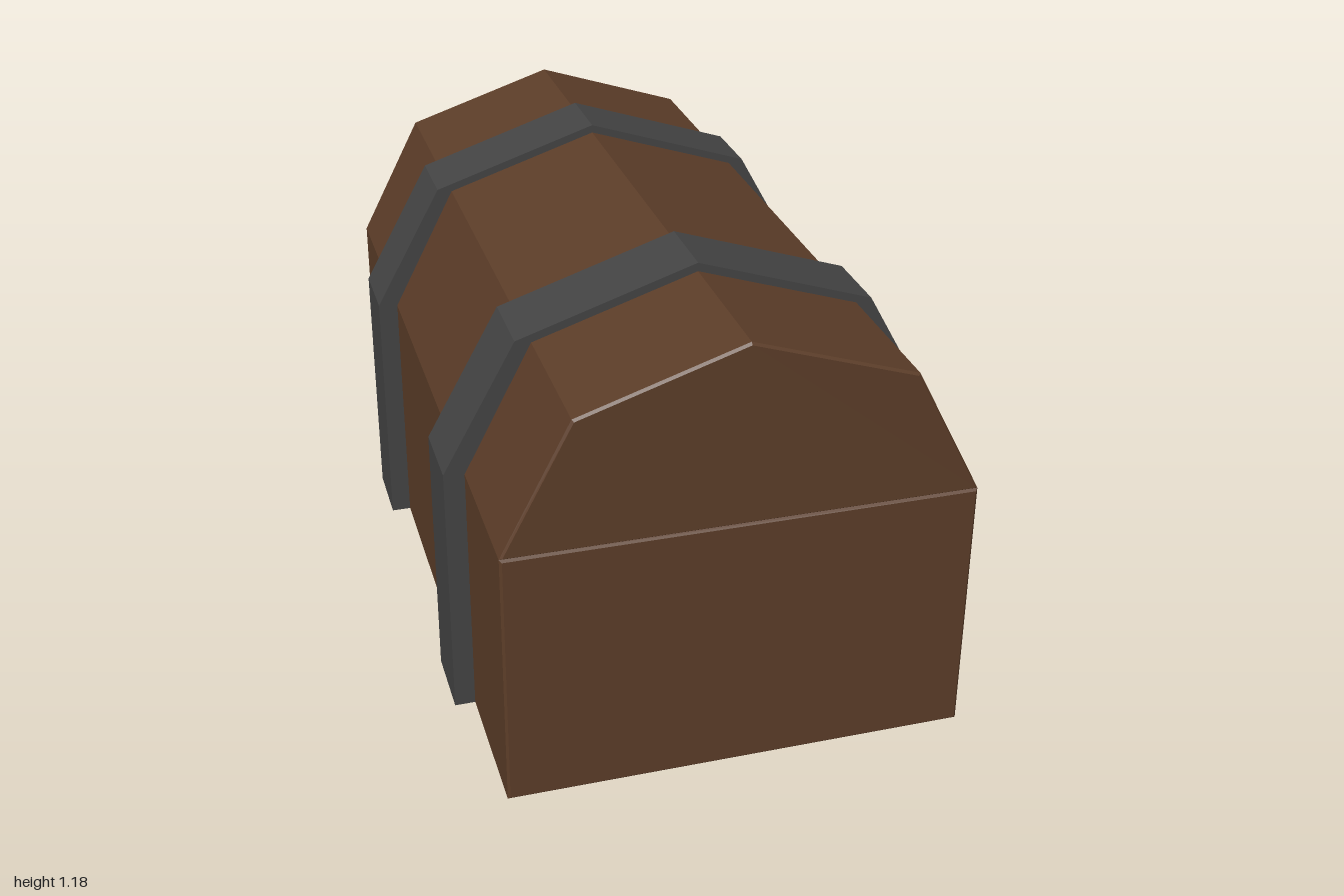
import * as THREE from 'three';

const material = (color) => new THREE.MeshStandardMaterial({ color, flatShading: true });

// Closed shape from [x, y] points
const outline = (points) => new THREE.Shape(points.map(([x, y]) => new THREE.Vector2(x, y)));

// Mirror a right-hand profile (bottom to top) into a full one
const mirrored = (half) => [
  ...half,
  ...half.filter(([x]) => x > 0).reverse().map(([x, y]) => [-x, y]),
];

// Extrude along z, centred, with an optional small chamfer on the end edges
function extrude(name, shape, depth, mat, bevel = 0) {
  const geometry = new THREE.ExtrudeGeometry(shape, {
    depth: depth - 2 * bevel,
    bevelEnabled: bevel > 0,
    bevelThickness: bevel,
    bevelSize: bevel,
    bevelOffset: -bevel,
    bevelSegments: 1,
  });
  geometry.translate(0, 0, -depth / 2 + bevel);
  const mesh = new THREE.Mesh(geometry, mat);
  mesh.name = name;
  return mesh;
}

export function createModel() {
  const model = new THREE.Group();
  model.name = 'chest';
  const wood = material(0x5c3d28);
  const iron = material(0x444444);
  const brass = material(0xcccc00);

  const seam = 0.685;
  const inner = [[0.587, 0], [0.587, seam], [0.413, 1.02], [0, 1.155]];
  const outer = [[0.64, 0], [0.64, 0.69], [0.453, 1.028], [0, 1.177]];

  // Wooden box and faceted lid, meeting at a fine chamfered seam
  model.add(extrude('body', outline(mirrored(inner.slice(0, 2))), 2, wood, 0.006));
  model.add(extrude('lid', outline(mirrored(inner.slice(1))), 2, wood, 0.006));

  // Iron straps arching over box and lid
  const arch = outline([...mirrored(outer), ...mirrored(inner).reverse()]);
  for (const z of [-0.5, 0.5]) {
    const strap = extrude(z > 0 ? 'frontStrap' : 'backStrap', arch, 0.2, iron);
    strap.position.z = z;
    model.add(strap);
  }

  // Lock plate with clipped corners and a trapezoid keyhole
  const r = 0.07, c = 0.045;
  const hole = [[-0.031, -0.026], [0.031, -0.026], [0.022, 0.026], [-0.022, 0.026]];
  const plateShape = outline([[r, -c], [r, c], [c, r], [-c, r], [-r, c], [-r, -c], [-c, -r], [c, -r]]);
  plateShape.holes.push(outline(hole));
  const lock = new THREE.Group();
  lock.name = 'lock';
  lock.add(extrude('lockPlate', plateShape, 0.06, iron));

  // Brass lining of the keyhole and the dark floor behind it
  const liningShape = outline(hole);
  liningShape.holes.push(outline(hole.map(([x, y]) => [x * 0.86, y * 0.86])));
  const lining = extrude('keyholeLining', liningShape, 0.055, brass);
  lining.position.z = -0.002;
  const floor = extrude('keyholeFloor', outline(hole), 0.03, iron);
  floor.position.z = -0.014;
  lock.add(lining, floor);
  lock.rotation.y = Math.PI / 2;
  lock.position.set(0.61, 0.557, 0);
  model.add(lock);

  return model;
}
